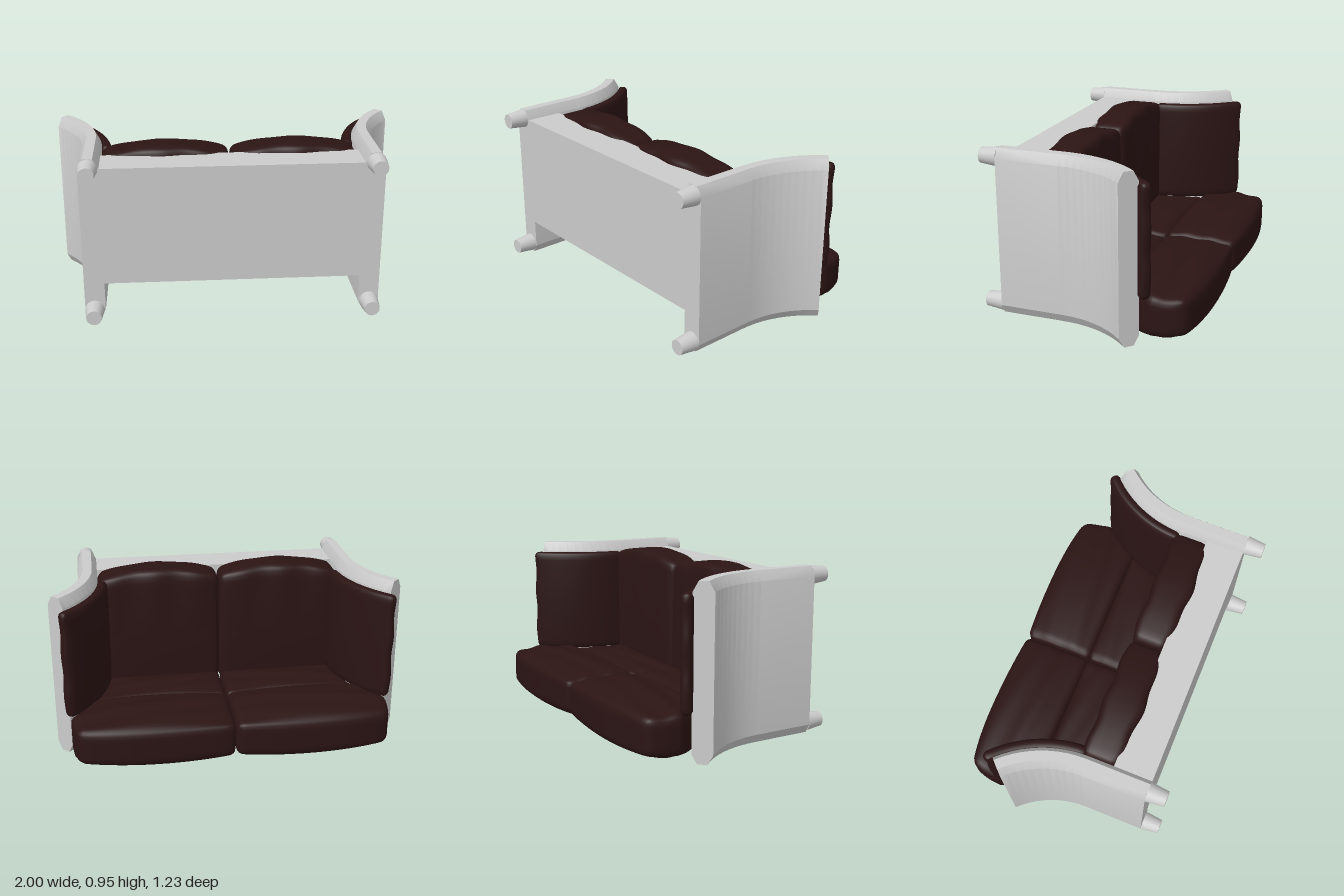
import * as THREE from 'three';
import { mergeVertices, toCreasedNormals } from 'three/addons/utils/BufferGeometryUtils.js';

const frameMat = new THREE.MeshStandardMaterial({ color: 0xcccccc });
const clothMat = new THREE.MeshStandardMaterial({ color: 0x2b1414 });

function mesh(name, geometry, material) {
  const m = new THREE.Mesh(geometry, material);
  m.name = name;
  return m;
}

// Mirror a geometry across x = 0, keeping faces outward
function mirrored(geometry) {
  const g = geometry.index ? geometry.toNonIndexed() : geometry.clone();
  g.scale(-1, 1, 1);
  for (const key of Object.keys(g.attributes)) {
    const { array, itemSize } = g.attributes[key];
    for (let i = 0; i < array.length; i += 3 * itemSize) {
      for (let k = 0; k < itemSize; k++) {
        const t = array[i + k];
        array[i + k] = array[i + 2 * itemSize + k];
        array[i + 2 * itemSize + k] = t;
      }
    }
  }
  return g;
}

// Arm centre line: straight, then a 45 degree arc flaring outward.
// t is the offset outward, a the distance past the start of the arc.
const R = 0.62, X0 = 0.777, Z0 = 0.15, END = R * Math.PI / 4;
function armPoint(t, a) {
  const ang = THREE.MathUtils.clamp(a / R, 0, Math.PI / 4);
  const extra = a - ang * R;
  const c = Math.cos(ang), s = Math.sin(ang);
  return [X0 + R * (1 - c) + t * c + extra * s, Z0 - R * s + t * s - extra * c];
}

// Chamfered arm panel swept along the centre line
function armGeometry() {
  const T = 0.057, t = 0.027;
  const section = [[T, 0.055], [T, 0.9], [t, 0.955], [-t, 0.955],
    [-T, 0.9], [-T, 0.055], [-t, 0.003], [t, 0.003]];
  const stations = [Z0 - 0.51];
  for (let i = 0; i <= 10; i++) stations.push(END * i / 10);
  const pos = [], idx = [], n = section.length;
  for (const a of stations) {
    for (const [off, y] of section) {
      const [x, z] = armPoint(off, a);
      pos.push(x, y, z);
    }
  }
  for (let j = 0; j < stations.length - 1; j++) {
    for (let i = 0; i < n; i++) {
      const p = j * n + i, q = j * n + (i + 1) % n;
      idx.push(p, p + n, q, q, p + n, q + n);
    }
  }
  const last = (stations.length - 1) * n;
  for (let i = 1; i < n - 1; i++) {
    idx.push(0, i, i + 1, last, last + i + 1, last + i);
  }
  const g = new THREE.BufferGeometry();
  g.setAttribute('position', new THREE.Float32BufferAttribute(pos, 3));
  g.setIndex(idx);
  return toCreasedNormals(g, 0.5);
}

// Rounded box whose vertices are then moved by shape(v, u), u running -1..1
function cushionGeometry(min, max, r, segs, shape) {
  const lo = new THREE.Vector3(...min), hi = new THREE.Vector3(...max);
  const size = hi.clone().sub(lo), mid = hi.clone().add(lo).multiplyScalar(0.5);
  const half = size.clone().multiplyScalar(0.5);
  const core = half.clone().subScalar(r);
  let g = new THREE.BoxGeometry(size.x, size.y, size.z, ...segs);
  g.deleteAttribute('normal');
  g.deleteAttribute('uv');
  g = mergeVertices(g);
  const p = g.attributes.position;
  const v = new THREE.Vector3(), c = new THREE.Vector3(), u = new THREE.Vector3();
  for (let i = 0; i < p.count; i++) {
    v.fromBufferAttribute(p, i);
    c.copy(v).clamp(core.clone().negate(), core);
    v.sub(c).setLength(r).add(c);
    u.copy(v).divide(half);
    v.add(mid);
    shape(v, u);
    p.setXYZ(i, v.x, v.y, v.z);
  }
  g.computeVertexNormals();
  return g;
}

const dome = (k) => 1 - k * k;

function buildSide() {
  const parts = [['arm', armGeometry(), frameMat]];

  // Two tapered feet at the bottom of the arm
  for (const y of [0.06, 0.9]) {
    const foot = new THREE.CylinderGeometry(0.055, 0.043, 0.105, 20);
    foot.rotateX(-Math.PI / 2);
    foot.translate(0.78, y, 0.5625);
    parts.push([y < 0.5 ? 'rearFoot' : 'frontFoot', foot, frameMat]);
  }

  // Seat cushion with a bowed front edge
  parts.push(['seatCushion', cushionGeometry([0.003, 0.2, 0.1], [0.72, 0.89, 0.3], 0.04, [28, 28, 10], (v, u) => {
    if (u.y > 0) v.y += 0.05 * dome(u.x) * u.y ** 3;
    const ripple = 0.007 * Math.sin(u.x * 9 + 1) * Math.max(u.y, 0);
    if (u.z > 0) v.z += (0.028 * dome(u.x * 0.9) + ripple) * u.z;
    else v.z += (0.015 * dome(u.x) * dome(u.y) + ripple) * u.z;
  }), clothMat]);

  // Lower back cushion, widening with the arm
  parts.push(['lowerBackCushion', cushionGeometry([0.003, 0.04, -0.18], [0.72, 0.26, 0.15], 0.035, [26, 10, 18], (v, u) => {
    v.x *= 1 + 0.09 * Math.max(-u.z, 0);
    v.y += u.y * 0.02 * dome(u.x) * dome(u.z) + 0.003 * Math.sin(u.z * 7 + u.x * 3);
  }), clothMat]);

  // Upper back cushion, flaring over the arms with a bowed top
  parts.push(['upperBackCushion', cushionGeometry([0.003, 0.045, -0.595], [0.9, 0.27, -0.172], 0.04, [30, 10, 22], (v, u) => {
    const outer = u.z > 0 ? 1.015 - 0.13 * u.z : 1.015 - 0.045 * u.z * u.z;
    v.x *= outer;
    if (u.z < 0) v.z += 0.022 * (dome(u.x) - 0.2) * u.z + 0.02 * Math.max(u.x, 0) ** 3 * -u.z;
    const puff = 0.033 * dome(u.x) * dome(u.z * 0.85);
    v.y += u.y * puff + 0.004 * Math.sin(u.z * 8 + u.x * 2);
    if (u.y < 0) v.y += 0.015 * Math.max(-u.z, 0) * -u.y;
    else v.y -= 0.012 * Math.max(-u.z, 0) * u.y;
  }), clothMat]);

  // Thin pad following the inside of the arm
  parts.push(['armCushion', cushionGeometry([-0.113, 0.26, 0.02], [-0.05, 0.895, 0.53], 0.029, [8, 26, 26], (v, u) => {
    const t = v.x + (u.x < 0 ? -0.01 * dome(u.y) * dome(u.z) : 0);
    const a = v.z + 0.004 * Math.sin(u.y * 8) * Math.max(u.z, 0);
    const [x, z] = armPoint(t, a);
    v.set(x, v.y, z);
  }), clothMat]);
  // The pad's (offset, y, arc) axes are already right-handed after the bend flips z, so turn its faces
  const pad = parts[parts.length - 1][1];
  const index = pad.index.array;
  for (let i = 0; i < index.length; i += 3) [index[i], index[i + 2]] = [index[i + 2], index[i]];
  pad.computeVertexNormals();
  return parts;
}

export function createModel() {
  const model = new THREE.Group();
  model.name = 'sofa';

  // Base box under the seat
  const base = mesh('base', new THREE.BoxGeometry(1.446, 0.68, 0.22), frameMat);
  base.position.set(0, 0.56, 0.4);
  model.add(base);

  const left = new THREE.Group(), right = new THREE.Group();
  left.name = 'leftSide';
  right.name = 'rightSide';
  for (const [name, geometry, material] of buildSide()) {
    left.add(mesh(name, geometry, material));
    right.add(mesh(name, mirrored(geometry), material));
  }
  model.add(left, right);
  return model;
}
